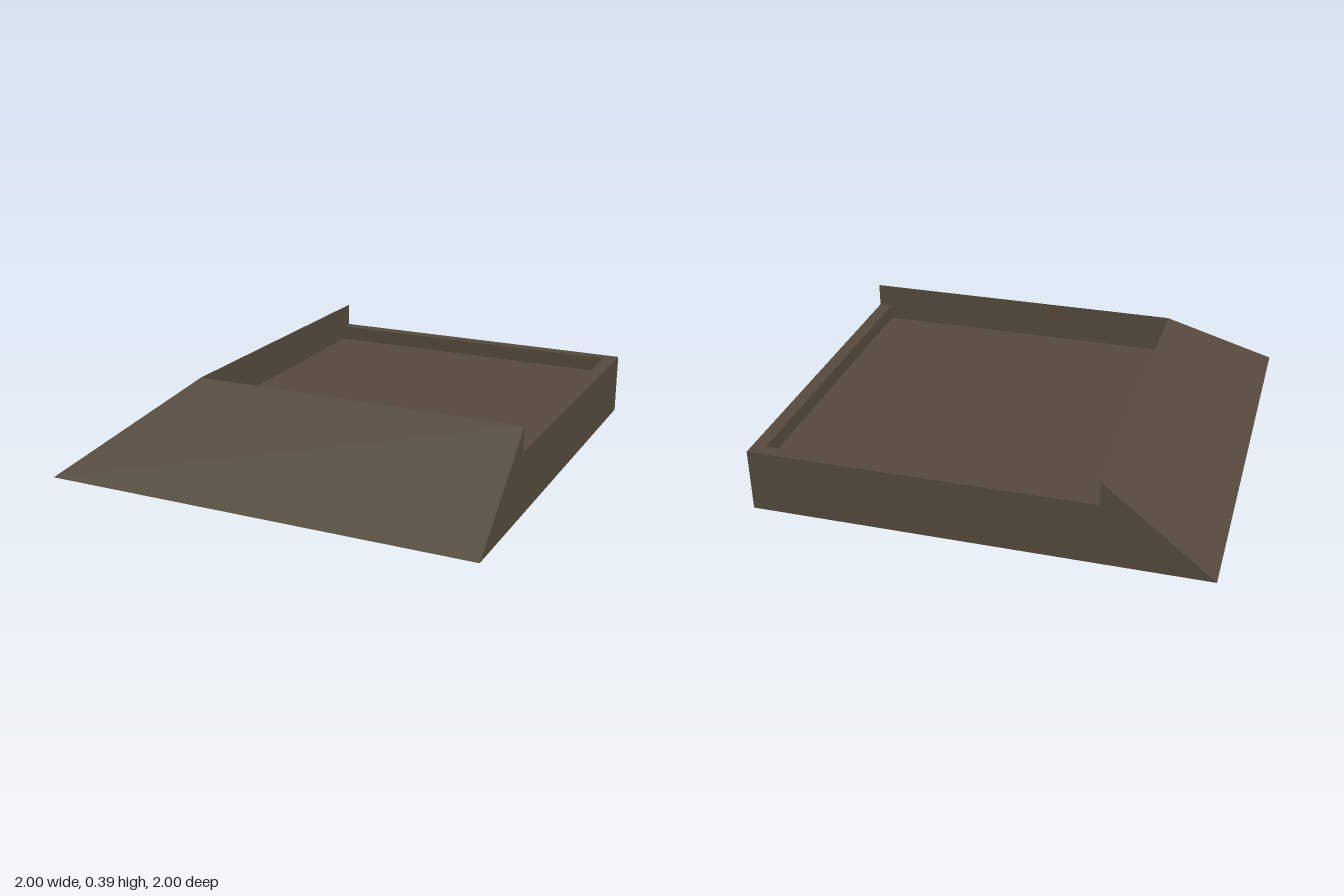
import * as THREE from 'three';

const TOP = 0.393;   // ridge height of the slopes
const RIM = 0.283;   // height of the low walls
const FLOOR = 0.213; // recessed floor
const RIDGE = 0.52;  // ridge distance from the centre
const INNER = 0.94;  // inner edge of the rim

const brown = new THREE.MeshStandardMaterial({ color: 0x554a3c, side: THREE.DoubleSide });
brown.name = 'dark brown';

// Flat panel, fanned from its first corner (the notch, where there is one)
function panel(name, corners) {
  const geometry = new THREE.BufferGeometry().setFromPoints(corners.map((c) => new THREE.Vector3(...c)));
  const index = [];
  for (let i = 1; i < corners.length - 1; i++) index.push(0, i, i + 1);
  geometry.setIndex(index);
  geometry.computeVertexNormals();
  const mesh = new THREE.Mesh(geometry, brown);
  mesh.name = name;
  return mesh;
}

// Swap across the diagonal, facing outward and keeping the first corner first
function mirror(corners) {
  const [first, ...rest] = corners.map(([x, y, z]) => [-z, y, -x]);
  return [first, ...rest.reverse()];
}

export function createModel() {
  const group = new THREE.Group();
  group.name = 'slopedCornerShell';

  // Each entry is built once and once more across the diagonal
  const parts = [
    ['frontSlope', 'sideSlope', [
      [-1, 0, 1], [1, 0, 1], [1, TOP, RIDGE], [-RIDGE, TOP, RIDGE]]],
    ['sideWall', 'backWall', [
      [1, RIM, RIDGE], [1, TOP, RIDGE], [1, 0, 1], [1, 0, -1], [1, RIM, -1]]],
    ['frontSlopeBacking', 'sideSlopeBacking', [
      [INNER, RIM, RIDGE], [INNER, FLOOR, RIDGE], [-RIDGE, FLOOR, RIDGE],
      [-RIDGE, TOP, RIDGE], [1, TOP, RIDGE], [1, RIM, RIDGE]]],
    ['sideRim', 'backRim', [
      [1, RIM, RIDGE], [1, RIM, -1], [INNER, RIM, -INNER], [INNER, RIM, RIDGE]]],
    ['sideRimInnerWall', 'backRimInnerWall', [
      [INNER, FLOOR, -INNER], [INNER, FLOOR, RIDGE], [INNER, RIM, RIDGE], [INNER, RIM, -INNER]]],
  ];
  for (const [name, mirroredName, corners] of parts) {
    group.add(panel(name, corners), panel(mirroredName, mirror(corners)));
  }

  // Recessed floor; the underside of the shell is open
  group.add(panel('recessedFloor', [
    [-RIDGE, FLOOR, RIDGE], [INNER, FLOOR, RIDGE], [INNER, FLOOR, -INNER], [-RIDGE, FLOOR, -INNER]]));

  return group;
}
